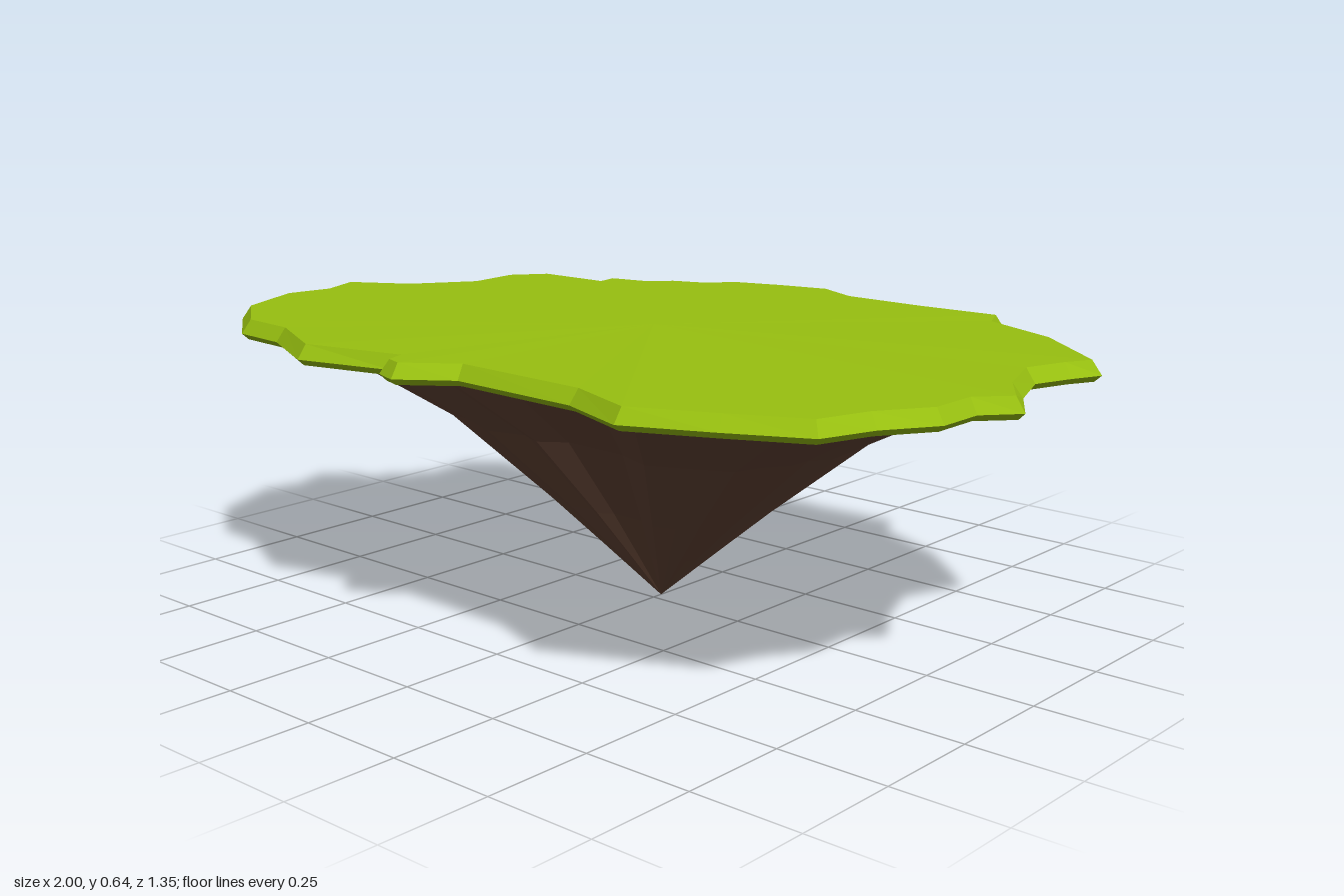
import * as THREE from 'three';

// Ragged shoreline as [x, z], clockwise seen from above
const OUTLINE = [
  [-0.01, -0.68], [0.1, -0.63], [0.3, -0.63], [0.51, -0.64], [0.55, -0.56], [0.74, -0.48], [0.94, -0.31],
  [0.91, -0.24], [0.88, -0.15], [0.93, -0.02], [1, 0.09], [0.94, 0.16], [0.94, 0.27], [0.87, 0.38],
  [0.83, 0.5], [0.67, 0.58], [0.49, 0.66], [0.32, 0.6], [0, 0.59], [-0.11, 0.67], [-0.17, 0.65],
  [-0.18, 0.61], [-0.41, 0.67], [-0.6, 0.58], [-0.74, 0.57], [-0.9, 0.45], [-0.98, 0.27], [-0.96, 0.16],
  [-1, 0.05], [-0.86, -0.04], [-0.77, -0.17], [-0.78, -0.3], [-0.71, -0.39], [-0.53, -0.39], [-0.54, -0.44],
  [-0.44, -0.47], [-0.39, -0.52], [-0.31, -0.55], [-0.26, -0.61], [-0.14, -0.65],
].map(([x, z]) => new THREE.Vector2(x, z));

// Outline moved inward by a constant distance, at height y
function insetRing(distance, y) {
  const n = OUTLINE.length;
  return OUTLINE.map((p, i) => {
    const a = p.clone().sub(OUTLINE[(i + n - 1) % n]).normalize();
    const b = OUTLINE[(i + 1) % n].clone().sub(p).normalize();
    const t = a.add(b).normalize();
    return new THREE.Vector3(p.x - t.y * distance, y, p.y + t.x * distance);
  });
}

// Outline scaled towards a centre line at z = cz, at height y
function scaledRing(scale, y, cz = 0) {
  return OUTLINE.map((p) => new THREE.Vector3(p.x * scale, y, p.y * scale + cz));
}

// Skin between successive rings, from the bottom up, skipping collapsed triangles
function loft(rings) {
  const points = [];
  const face = (a, b, c) => {
    if (a.distanceTo(b) > 1e-6 && b.distanceTo(c) > 1e-6 && a.distanceTo(c) > 1e-6) {
      for (const p of [a, b, c]) points.push(p);
    }
  };
  for (let r = 0; r < rings.length - 1; r++) {
    const low = rings[r], high = rings[r + 1];
    for (let i = 0; i < low.length; i++) {
      const j = (i + 1) % low.length;
      face(low[i], high[i], high[j]);
      face(low[i], high[j], low[j]);
    }
  }
  const geometry = new THREE.BufferGeometry().setFromPoints(points);
  geometry.computeVertexNormals();
  return geometry;
}

export function createModel() {
  const grass = new THREE.MeshStandardMaterial({ name: 'grass green', color: 0x98c010, flatShading: true });
  const earth = new THREE.MeshStandardMaterial({ name: 'earth brown', color: 0x634435, flatShading: true });
  const island = new THREE.Group();
  island.name = 'floatingIsland';

  // Thin grass slab with bevelled edge and overhanging underside
  const turf = new THREE.Mesh(loft([
    scaledRing(0, 0.598),
    insetRing(0.015, 0.592),
    insetRing(0, 0.606),
    insetRing(0.022, 0.637),
    scaledRing(0, 0.64),
  ]), grass);
  turf.name = 'grassTop';

  // Ribbed rock tapering to a point
  const profile = [[0, 0], [0.14, 0.12], [0.27, 0.23], [0.51, 0.42], [0.86, 0.598]];
  const rock = new THREE.Mesh(loft(profile.map(([s, y]) => scaledRing(s, y, -0.026))), earth);
  rock.name = 'rockBase';

  island.add(turf, rock);
  return island;
}
